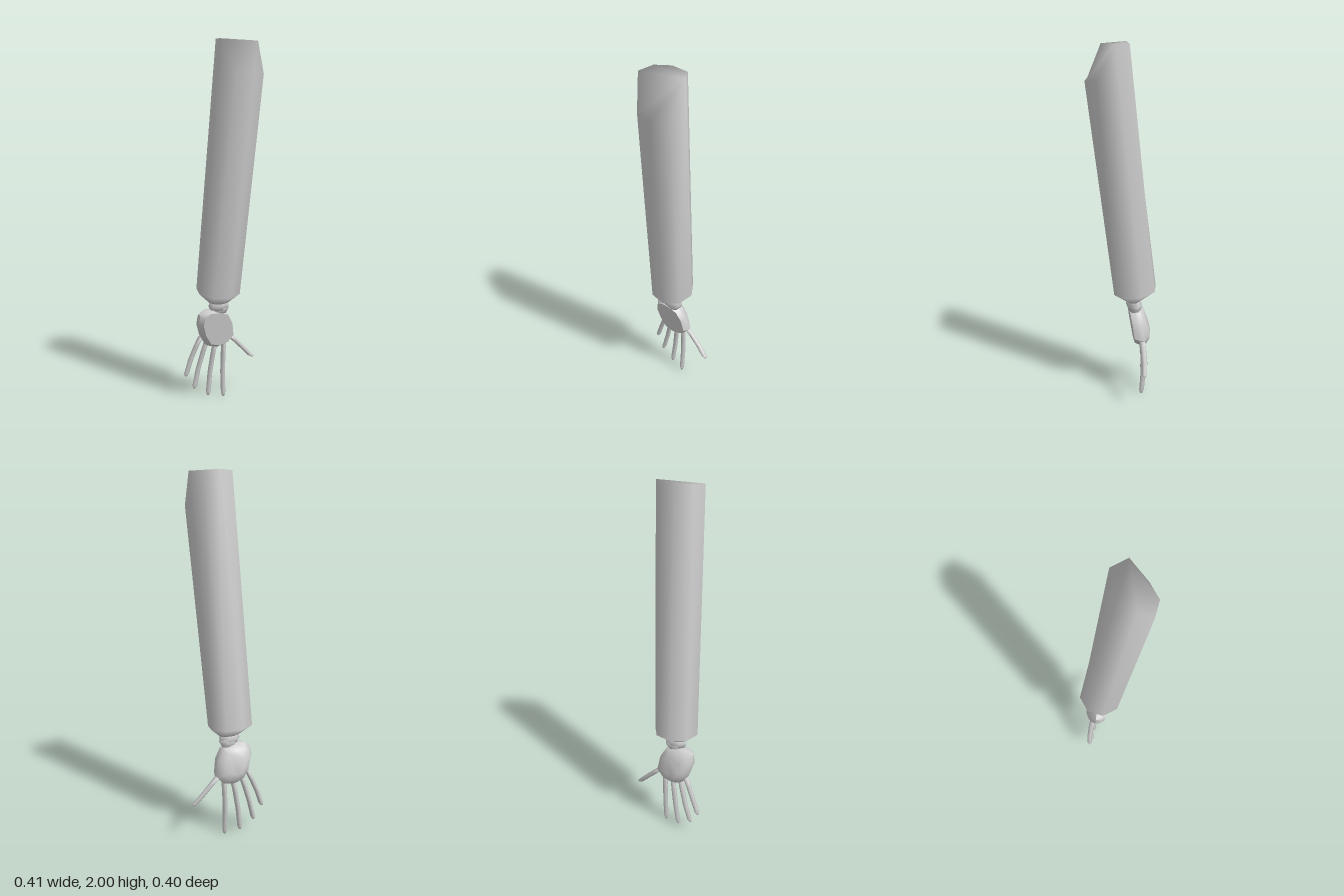
import * as THREE from 'three';
import { toCreasedNormals } from 'three/addons/utils/BufferGeometryUtils.js';
import { ConvexGeometry } from 'three/addons/geometries/ConvexGeometry.js';

const V = (x, y, z) => new THREE.Vector3(x, y, z);

// Closed smooth skin over rings listed from bottom to top, each counterclockwise from above
function loft(rings, fan = 0) {
  const n = rings[0].length;
  const index = [];
  for (let k = 0; k < rings.length - 1; k++) {
    for (let i = 0; i < n; i++) {
      const a = k * n + i, b = k * n + (i + 1) % n;
      index.push(a, b, b + n, a, b + n, a + n);
    }
  }
  const top = (rings.length - 1) * n;
  for (let i = 1; i < n - 1; i++) {
    const p = (fan + i) % n, q = (fan + i + 1) % n;
    index.push(top + fan, top + p, top + q, fan, q, p);
  }
  const g = new THREE.BufferGeometry().setFromPoints(rings.flat());
  g.setIndex(index);
  g.computeVertexNormals();
  return g;
}

// Ring around a centre; tilt lowers its front edge
function ring(c, rx, rz, n, tilt = 0, turn = 0) {
  return Array.from({ length: n }, (_, i) => {
    const t = i / n * Math.PI * 2 + turn;
    const z = Math.cos(t) * rz;
    return V(c.x + Math.sin(t) * rx, c.y - z * tilt, c.z + z);
  });
}

// Slim tapered digit through base, knuckle and tip
function digit(base, knuckle, tip, r) {
  const curve = new THREE.CatmullRomCurve3([tip, knuckle, base]);
  const radii = [0.5, 0.9, 0.95, 0.95, 1];
  const rings = radii.map((f, i) => {
    const u = [0, 0.06, 0.4, 0.75, 1][i];
    const slant = 1 / Math.max(0.6, Math.abs(curve.getTangent(u).y));
    return ring(curve.getPoint(u), r * f * slant, r * f * 1.15, 6);
  });
  return loft(rings);
}

export function createModel() {
  const group = new THREE.Group();
  const gray = new THREE.MeshStandardMaterial({ color: 0xcccccc });
  gray.name = 'light gray';
  const add = (name, geometry) => {
    const mesh = new THREE.Mesh(geometry, gray);
    mesh.name = name;
    group.add(mesh);
  };

  // Long leaning forearm with a bevelled upper end
  const upperEnd = [
    V(0.01, 1.81, 0.2), V(0.095, 1.815, 0.16), V(0.122, 1.99, 0.07), V(0.082, 1.987, -0.015),
    V(-0.005, 2, -0.02), V(-0.095, 1.993, 0), V(-0.125, 1.985, 0.087), V(-0.08, 1.815, 0.17),
  ];
  add('forearm', loft([
    ring(V(-0.038, 0.58, -0.07), 0.06, 0.045, 8, 0.13, 0.05),
    ring(V(-0.036, 0.637, -0.08), 0.123, 0.123, 8, 0.13, 0.05),
    upperEnd,
  ], 2));

  // Wrist bones
  add('wristUpper', loft([
    ring(V(-0.035, 0.535, -0.072), 0.052, 0.036, 7),
    ring(V(-0.037, 0.56, -0.072), 0.063, 0.045, 7),
    ring(V(-0.037, 0.59, -0.072), 0.05, 0.036, 7),
  ]));
  add('wristLower', loft([
    ring(V(-0.025, 0.512, -0.075), 0.034, 0.028, 7),
    ring(V(-0.027, 0.54, -0.075), 0.054, 0.042, 7),
    ring(V(-0.025, 0.565, -0.075), 0.048, 0.034, 7),
  ]));

  // Softly faceted palm: one outline, inset toward its front and back
  const outline = [
    [-0.11, 0.535], [-0.05, 0.535], [0.015, 0.515], [0.053, 0.45], [0.068, 0.365], [0.03, 0.32],
    [-0.03, 0.305], [-0.09, 0.322], [-0.13, 0.385], [-0.152, 0.455], [-0.145, 0.51],
  ];
  const layer = (s, dz) => outline.map(([x, y]) => V(
    -0.04 + (x + 0.04) * s, 0.425 + (y - 0.425) * s, -0.098 + dz + (y - 0.425) * 0.12 + x * 0.1));
  add('palm', toCreasedNormals(new ConvexGeometry([
    ...layer(1, 0.012), ...layer(1, -0.015), ...layer(0.86, 0.042),
    ...layer(0.75, -0.046), ...layer(0.4, -0.056),
  ]), 0.75));

  // Four fingers and the thumb
  add('littleFinger', digit(V(-0.115, 0.37, -0.14), V(-0.16, 0.26, -0.162), V(-0.198, 0.145, -0.168), 0.014));
  add('ringFinger', digit(V(-0.078, 0.35, -0.13), V(-0.113, 0.21, -0.157), V(-0.15, 0.065, -0.157), 0.014));
  add('middleFinger', digit(V(-0.03, 0.33, -0.12), V(-0.05, 0.18, -0.14), V(-0.07, 0.015, -0.138), 0.014));
  add('indexFinger', digit(V(0.02, 0.34, -0.107), V(0.018, 0.18, -0.118), V(0.015, 0, -0.108), 0.014));
  add('thumb', digit(V(0.055, 0.36, -0.1), V(0.13, 0.285, -0.093), V(0.196, 0.212, -0.077), 0.014));

  return group;
}
